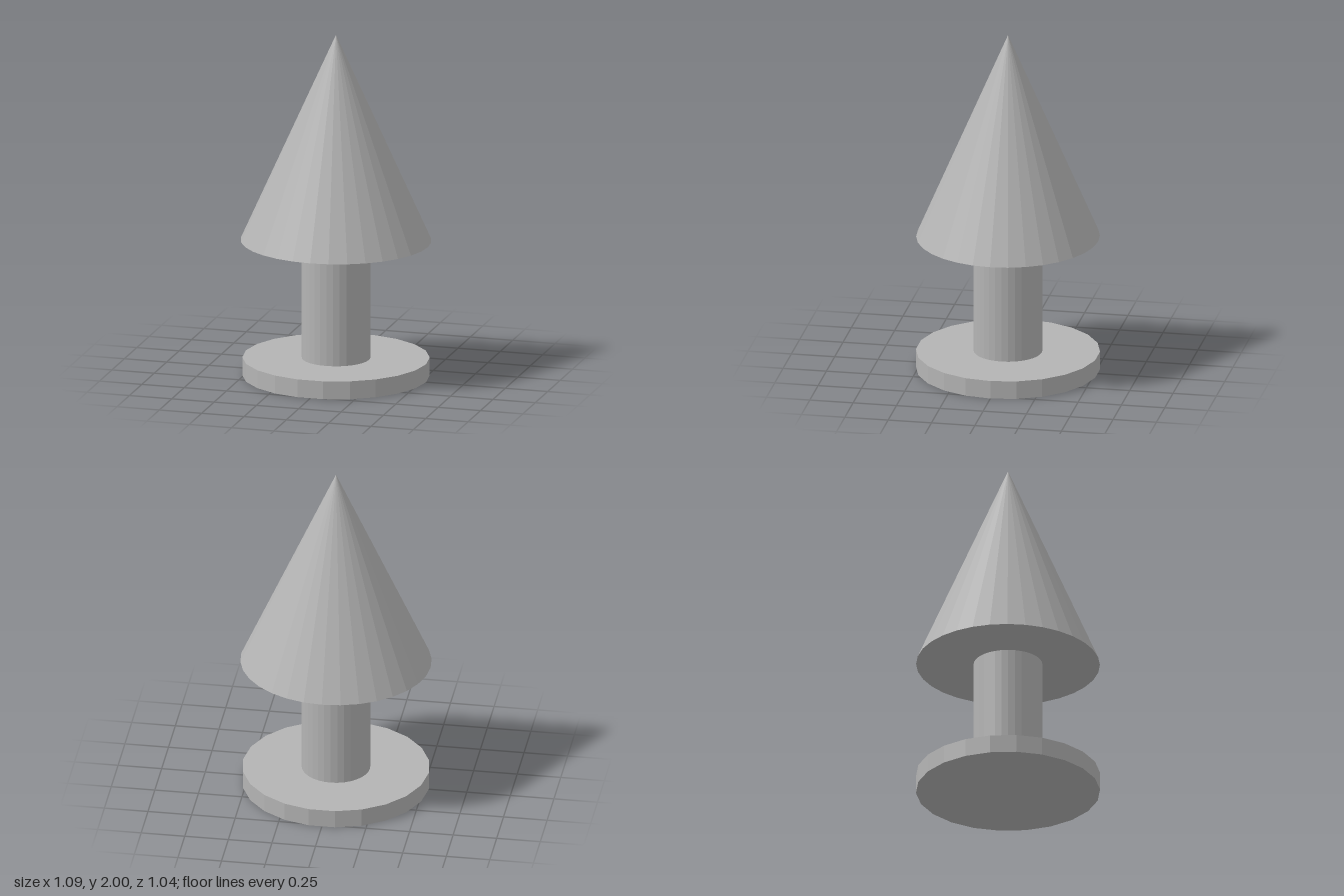
import * as THREE from 'three';

export function createModel() {
  const model = new THREE.Group();
  model.name = 'coneOnStand';
  const grey = new THREE.MeshStandardMaterial({ color: 0xb4b4b4 });
  grey.name = 'plain grey';

  // Adds a faceted, slightly oval turned part spanning y0 to y1
  function addPart(name, topRadius, rx, rz, y0, y1, sides, turn = 0) {
    const geometry = new THREE.CylinderGeometry(topRadius, 1, y1 - y0, sides, 1, false, turn)
      .scale(rx, 1, rz)
      .translate(0, (y0 + y1) / 2, 0)
      .toNonIndexed();
    geometry.computeVertexNormals();
    const mesh = new THREE.Mesh(geometry, grey);
    mesh.name = name;
    model.add(mesh);
  }

  // Base disc with a flat facet to the front
  addPart('base', 1, 0.532, 0.522, 0, 0.105, 22, Math.PI / 22);
  // Round post from base to cone
  addPart('post', 1, 0.195, 0.195, 0.1, 0.8, 32);
  // Tall pointed cone
  addPart('cone', 0, 0.543, 0.52, 0.793, 2, 32);

  return model;
}
